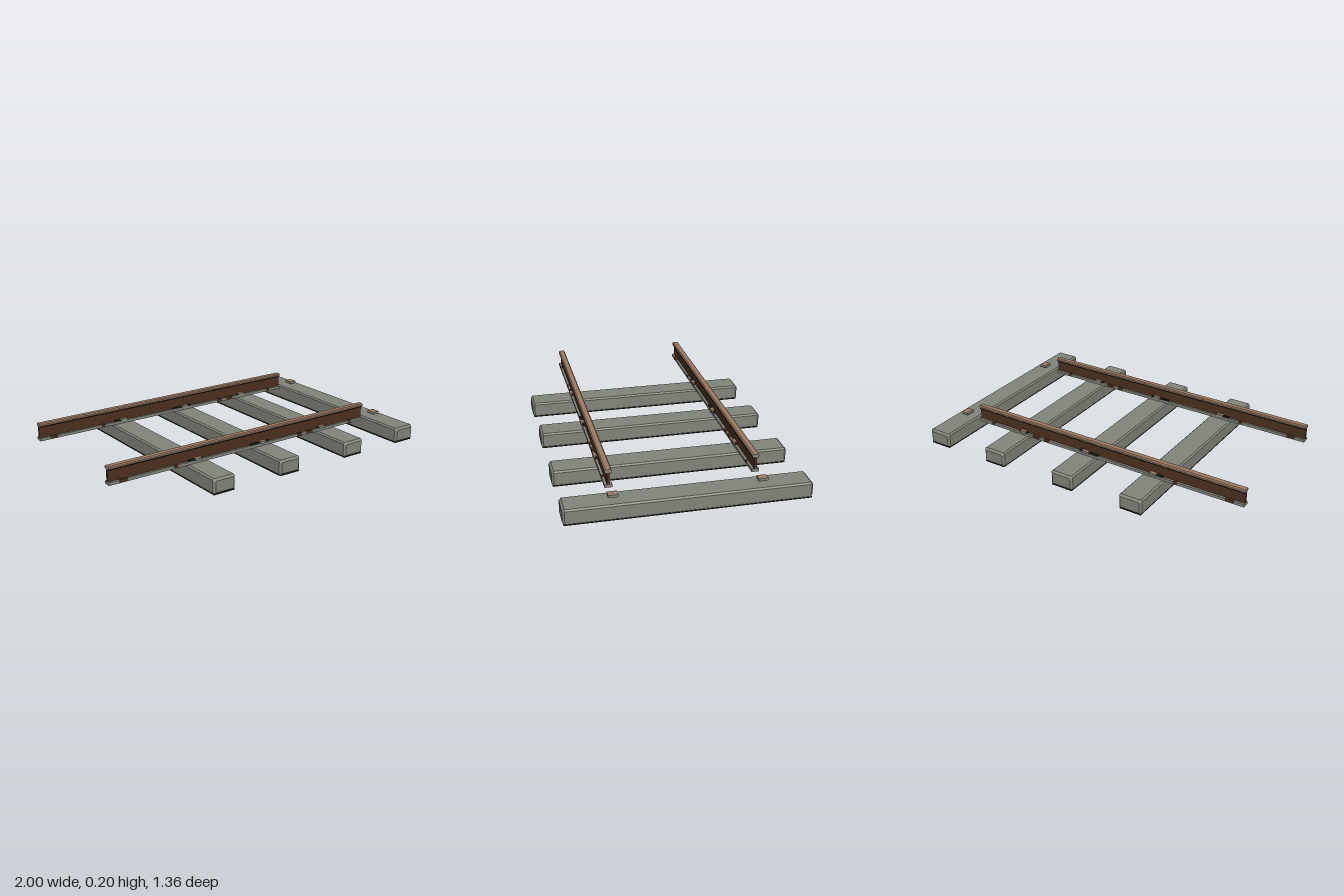
import * as THREE from 'three';

const mat = (name, color) => Object.assign(new THREE.MeshStandardMaterial({ color }), { name });

export function createModel() {
  const concrete = mat('concrete', 0x82857a);
  const underside = mat('dark underside', 0x1c1d16);
  const steel = mat('worn steel', 0x84857c);
  const railTop = mat('rusty running surface', 0x9c7a63);
  const rust = mat('dark rust', 0x4c301e);

  const model = new THREE.Group();
  const add = (parent, name, geometry, material, x = 0, y = 0, z = 0) => {
    const mesh = new THREE.Mesh(geometry, material);
    mesh.name = name;
    mesh.position.set(x, y, z);
    parent.add(mesh);
    return mesh;
  };
  const box = (w, h, d) => new THREE.BoxGeometry(w, h, d);

  // Rectangle with cut corners, centred on the origin
  const cutRect = (w, h, c) => {
    const a = w / 2, b = h / 2;
    return new THREE.Shape([
      [-a + c, -b], [a - c, -b], [a, -b + c], [a, b - c],
      [a - c, b], [-a + c, b], [-a, b - c], [-a, -b + c],
    ].map(([x, y]) => new THREE.Vector2(x, y)));
  };

  // Sleepers: long blocks with chamfered edges and a dark bottom face
  const bevel = 0.012, depth = 1.355;
  const sleeperGeo = new THREE.ExtrudeGeometry(cutRect(0.145 - 2 * bevel, 0.091 - 2 * bevel, 0.002), {
    depth: depth - 2 * bevel, bevelEnabled: true, bevelSegments: 1,
    bevelSize: bevel, bevelThickness: bevel,
  });
  sleeperGeo.translate(0, 0, -depth / 2 + bevel);
  [-0.4375, 0.0175, 0.5025, 0.925].forEach((x) => {
    const sleeper = new THREE.Group();
    sleeper.name = 'sleeper';
    sleeper.position.x = x;
    add(sleeper, 'sleeperBlock', sleeperGeo, concrete, 0, 0.0475, 0);
    add(sleeper, 'sleeperUnderside', box(0.136, 0.007, 1.345), underside, 0, 0.0035, 0);
    model.add(sleeper);
  });

  // Rails: foot, web and chamfered head, stopping short of the last sleeper
  const length = 1.808, mid = -0.096;
  const headGeo = new THREE.ExtrudeGeometry(cutRect(0.04, 0.02, 0.006), { depth: length, bevelEnabled: false });
  headGeo.translate(0, 0, -length / 2).rotateY(Math.PI / 2);
  const clipMaterials = [steel, steel, railTop, steel, steel, steel];

  [-0.411, 0.404].forEach((z) => {
    const rail = new THREE.Group();
    rail.name = 'rail';
    rail.position.z = z;
    add(rail, 'railFoot', box(length, 0.017, 0.042), steel, mid, 0.1005, 0);
    add(rail, 'railWeb', box(length, 0.074, 0.014), rust, mid, 0.145, 0);
    add(rail, 'railHead', headGeo, [steel, railTop], mid, 0.188, 0);
    add(rail, 'headShadowGap', box(length - 0.004, 0.006, 0.034), underside, mid, 0.178, 0);

    // Fastening plates over the foot, one per sleeper
    [-0.437, 0.0175, 0.47, 0.925].forEach((x) =>
      add(rail, 'fasteningPlate', box(0.044, 0.015, 0.055), clipMaterials, x, 0.1155, 0));

    // Grime around the fastenings
    [[-0.455, 0.09], [-0.005, 0.13], [0.47, 0.06]].forEach(([x, w]) =>
      add(rail, 'grime', box(w, 0.009, 0.038), underside, x, 0.113, 0));

    // Rust patches on the edges of the foot
    [[-0.912, 0.05], [-0.58, 0.025], [0.297, 0.035], [0.375, 0.05], [0.702, 0.02]].forEach(([x, w]) =>
      add(rail, 'rustPatch', box(w, 0.016, 0.044), rust, x, 0.103, 0));
    model.add(rail);
  });

  return model;
}
